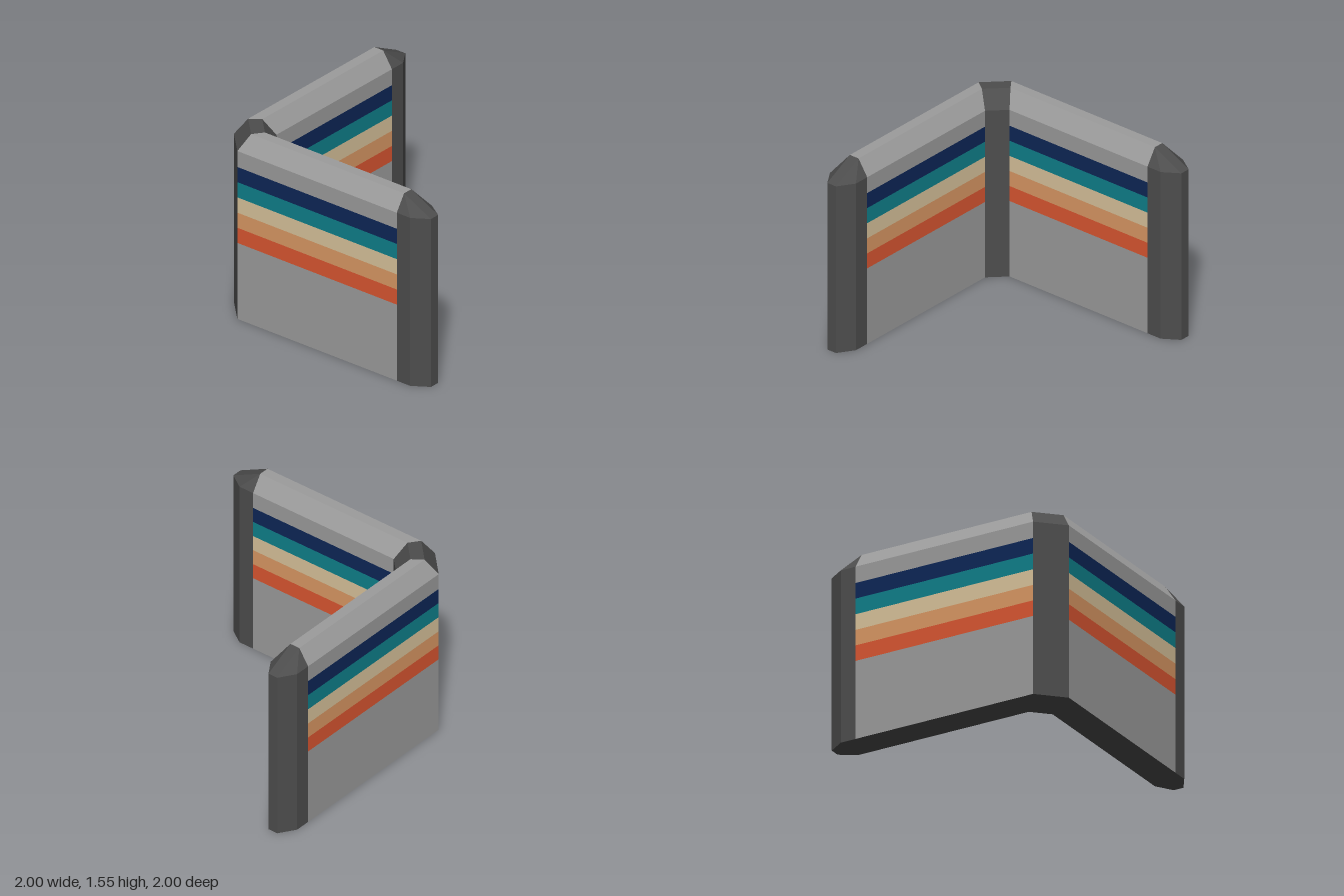
import * as THREE from 'three';

const mat = (name, color) => {
  const m = new THREE.MeshStandardMaterial({ color });
  m.name = name;
  return m;
};

// Mesh from convex polygons, each fanned into triangles with hard edges
function polyMesh(name, material, polys) {
  const pos = [];
  for (const p of polys)
    for (let i = 1; i < p.length - 1; i++) pos.push(...p[0], ...p[i], ...p[i + 1]);
  const g = new THREE.BufferGeometry();
  g.setAttribute('position', new THREE.Float32BufferAttribute(pos, 3));
  g.computeVertexNormals();
  const mesh = new THREE.Mesh(g, material);
  mesh.name = name;
  return mesh;
}

const INNER = -0.745, OUTER = -1, RIDGE_IN = -0.83, RIDGE_OUT = -0.915;
const SHOULDER = 1.42, TOP = 1.55, END = 0.74, BEND = 0.87, TIP = 1;
// Where a wing meets the chamfered corner, for a given depth
const cornerX = z => -0.615 + (z - INNER) * 0.745;
// The second wing is the first with x and z swapped
const swap = polys => polys.map(p => p.map(([x, y, z]) => [z, y, x]).reverse());

export function createModel() {
  const group = new THREE.Group();
  group.name = 'cornerBarrier';

  const grey = mat('panel grey', 0x9c9c9c);
  const dark = mat('dark trim', 0x4d4d4d);
  const stripes = [
    ['redStripe', mat('red', 0xda5631), 0.643, 0.771],
    ['orangeStripe', mat('orange', 0xda9864), 0.771, 0.899],
    ['sandStripe', mat('sand', 0xd9c39b), 0.899, 1.028],
    ['tealStripe', mat('teal', 0x0f808b), 1.028, 1.157],
    ['navyStripe', mat('navy', 0x0d2657), 1.157, 1.285],
  ];

  // Panel strip between two profile points [z, y]
  const strip = ([za, ya], [zb, yb]) => [
    [cornerX(za), ya, za], [END, ya, za], [END, yb, zb], [cornerX(zb), yb, zb],
  ];
  // The same band on the inner and outer wall
  const band = (y0, y1) => [
    strip([INNER, y0], [INNER, y1]), strip([OUTER, y1], [OUTER, y0]),
  ];
  const cap = [[INNER, SHOULDER], [RIDGE_IN, TOP], [RIDGE_OUT, TOP], [OUTER, SHOULDER]];

  // Grey wall with bevelled top
  const panel = [...band(0, 0.643), ...band(1.285, SHOULDER)];
  for (let i = 0; i < 3; i++) panel.push(strip(cap[i], cap[i + 1]));

  // Faceted end post with sloping top
  const plan = [[END, INNER], [BEND, INNER], [TIP, RIDGE_IN], [TIP, RIDGE_OUT], [BEND, OUTER], [END, OUTER]];
  const at = ([x, z], y) => [x, y, z];
  const endPost = [];
  for (let i = 0; i < 5; i++) {
    const a = plan[i], b = plan[i + 1];
    endPost.push([at(a, 0), at(b, 0), at(b, SHOULDER), at(a, SHOULDER)]);
    const apex = [END, TOP, i < 2 ? RIDGE_IN : RIDGE_OUT];
    const top = [at(a, SHOULDER), at(b, SHOULDER), apex];
    if (i === 2) top.push([END, TOP, RIDGE_IN]);
    endPost.push(top);
  }

  // Underside of one wing
  const base = [[
    [cornerX(INNER), 0, INNER], ...plan.slice(1, 5).map(p => at(p, 0)), [cornerX(OUTER), 0, OUTER],
  ].reverse()];

  const wings = [['backWing', p => p], ['rightWing', swap]];
  for (const [name, place] of wings) {
    const wing = new THREE.Group();
    wing.name = name;
    wing.add(polyMesh('panel', grey, place(panel)));
    for (const [stripe, m, y0, y1] of stripes) wing.add(polyMesh(stripe, m, place(band(y0, y1))));
    wing.add(polyMesh('endPost', dark, place(endPost)));
    wing.add(polyMesh('base', dark, place(base)));
    group.add(wing);
  }

  // Chamfered corner post joining the wings, closed underneath
  const loop = [[INNER, 0], ...cap, [OUTER, 0], [INNER, 0]];
  const corner = [];
  for (let i = 0; i < loop.length - 1; i++) {
    const [za, ya] = loop[i], [zb, yb] = loop[i + 1];
    corner.push([
      [za, ya, cornerX(za)], [cornerX(za), ya, za], [cornerX(zb), yb, zb], [zb, yb, cornerX(zb)],
    ]);
  }
  group.add(polyMesh('cornerPost', dark, corner));
  return group;
}
